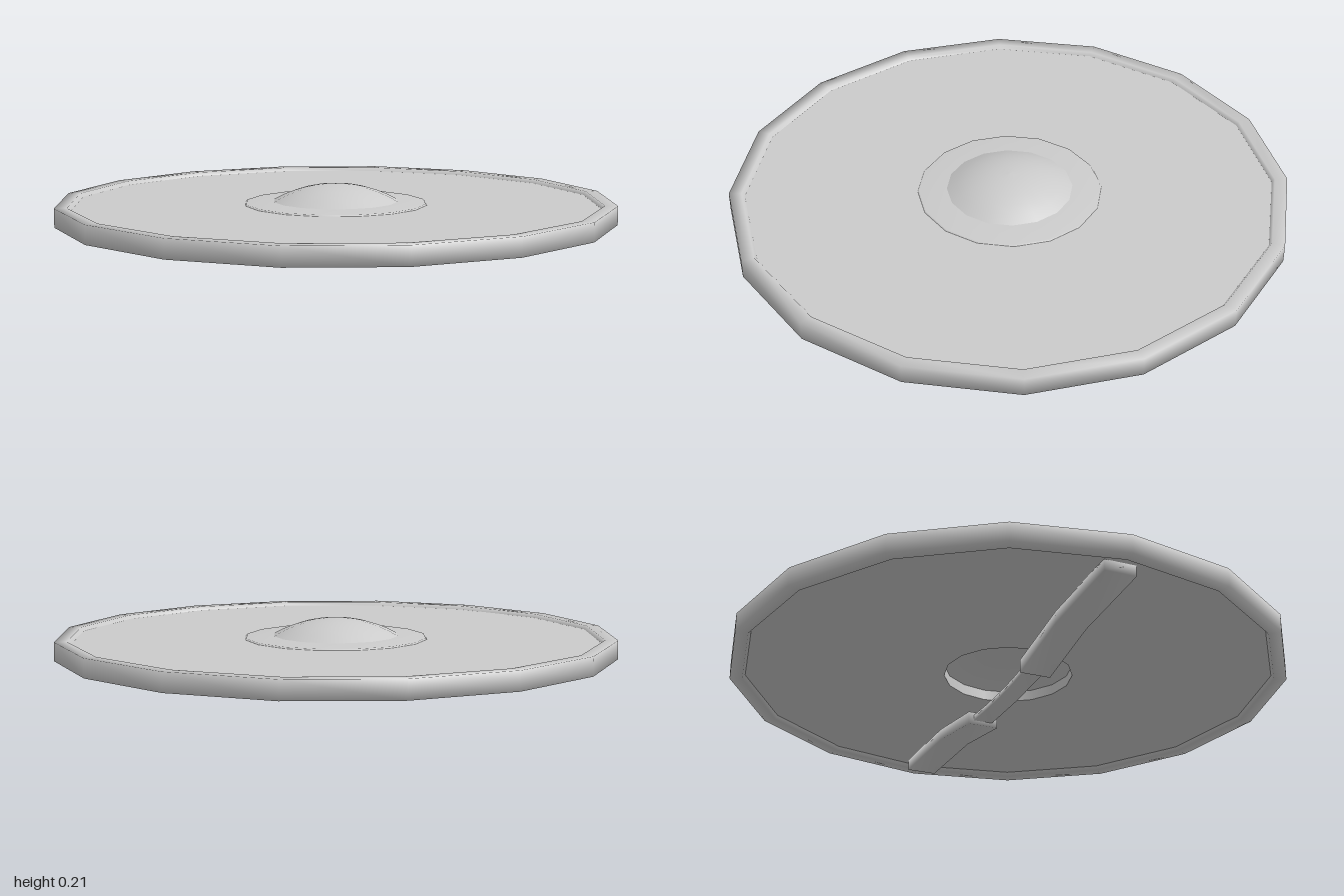
import * as THREE from 'three';
import { mergeVertices } from 'three/addons/utils/BufferGeometryUtils.js';

const material = new THREE.MeshStandardMaterial({ color: 0xcccccc });
const SIDES = 16;

// Turned part from [radius, height] pairs, counter-clockwise round the section
function turned(name, profile) {
  const points = profile.map(([r, y]) => new THREE.Vector2(r, y));
  const mesh = new THREE.Mesh(new THREE.LatheGeometry(points, SIDES), material);
  mesh.name = name;
  return mesh;
}

// Soft-edged bar through stations [x, bottom, top, halfWidth], given left to right
function bar(name, stations) {
  let geometry = new THREE.BoxGeometry(stations.length - 1, 1, 1, stations.length - 1, 1, 1);
  const pos = geometry.attributes.position;
  for (let i = 0; i < pos.count; i++) {
    const index = Math.round(pos.getX(i) + (stations.length - 1) / 2);
    const [x, bottom, top, half] = stations[index];
    pos.setXYZ(i, x, pos.getY(i) > 0 ? top : bottom, Math.sign(pos.getZ(i)) * half);
  }
  // Weld the corners so the shading rolls round the edges
  geometry.deleteAttribute('normal');
  geometry.deleteAttribute('uv');
  geometry = mergeVertices(geometry);
  geometry.computeVertexNormals();
  const mesh = new THREE.Mesh(geometry, material);
  mesh.name = name;
  return mesh;
}

// Dome arc from the centre out to the given radius
function domeArc(radius, base, top, steps = 6) {
  const rise = top - base;
  const sphere = (radius * radius + rise * rise) / (2 * rise);
  const sweep = Math.asin(radius / sphere);
  return Array.from({ length: steps + 1 }, (_, i) => {
    const a = (sweep * i) / steps;
    return [sphere * Math.sin(a), top - sphere * (1 - Math.cos(a))];
  });
}

export function createModel() {
  const shield = new THREE.Group();
  shield.name = 'roundShield';

  // Flat board: lower and upper faces with an opening behind the boss
  shield.add(turned('boardBack', [[0.23, 0.102], [0.96, 0.102]]));
  shield.add(turned('boardFront', [[0.96, 0.142], [0.23, 0.142]]));
  shield.add(turned('boardOpening', [[0.23, 0.142], [0.23, 0.102]]));

  // Raised rim, soft on its corners
  shield.add(turned('rim', [
    [0.945, 0.102], [0.955, 0.088], [1, 0.088], [1, 0.155], [0.955, 0.155], [0.945, 0.142],
  ]));

  // Central boss: dome, sloping flange and hollow underside
  shield.add(turned('bossDome', domeArc(0.225, 0.152, 0.212).reverse()));
  shield.add(turned('bossFlange', [[0.33, 0.141], [0.325, 0.147], [0.225, 0.152]]));
  shield.add(turned('bossHollow', domeArc(0.23, 0.14, 0.2)));

  // Handle: two bent arms gripping a thin curved hand bar
  const arm = [[0.24, 0, 0.048, 0.056], [0.54, 0.05, 0.094, 0.056], [0.91, 0.063, 0.104, 0.056]];
  const mirrored = arm.map(([x, ...rest]) => [-x, ...rest]).reverse();
  shield.add(bar('leftHandleArm', arm));
  shield.add(bar('rightHandleArm', mirrored));
  shield.add(bar('handGrip', [
    [-0.28, 0.018, 0.04, 0.036], [-0.12, 0.011, 0.031, 0.034], [0, 0.008, 0.028, 0.034],
    [0.12, 0.011, 0.031, 0.034], [0.28, 0.018, 0.04, 0.036],
  ]));

  return shield;
}
